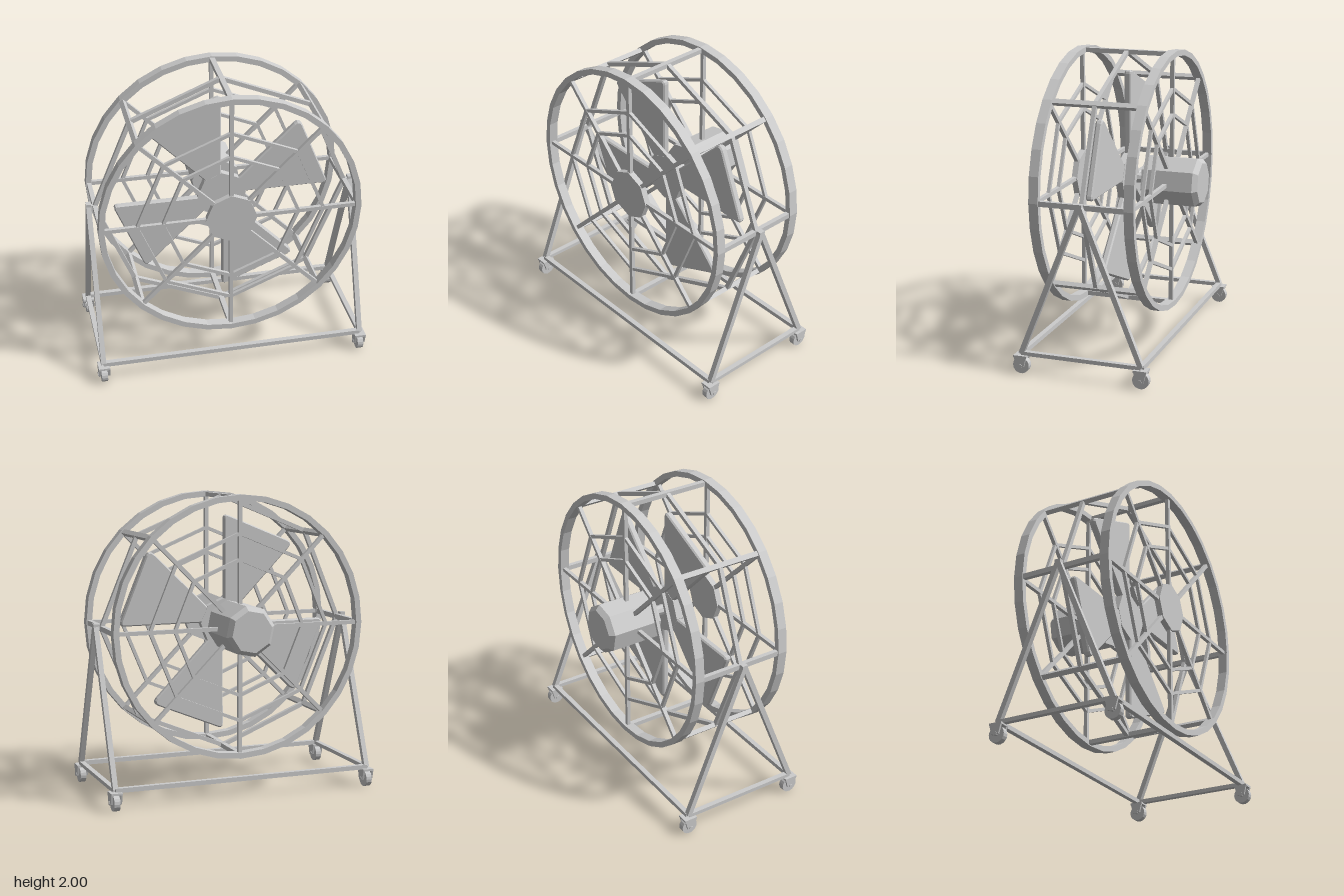
import * as THREE from 'three';

const steel = new THREE.MeshStandardMaterial({ color: 0xcccccc });
steel.name = 'greySteel';
steel.flatShading = true;

const CY = 1.125;      // height of the fan axis
const MID = 0.035;     // z of the blade plane and of the stand apex
const R = 0.873;       // outer radius of the guard rings
const EIGHTH = Math.PI / 4;

function add(parent, name, geometry, x = 0, y = 0, z = 0) {
  const mesh = new THREE.Mesh(geometry, steel);
  mesh.name = name;
  mesh.position.set(x, y, z);
  parent.add(mesh);
  return mesh;
}

// Square bar between two points
function bar(parent, name, a, b, w = 0.03, d = w) {
  const p = new THREE.Vector3(...a), q = new THREE.Vector3(...b);
  const mesh = add(parent, name, new THREE.BoxGeometry(w, d, p.distanceTo(q)));
  mesh.position.copy(p).add(q).multiplyScalar(0.5);
  if (Math.abs(q.y - p.y) > 0.9 * p.distanceTo(q)) mesh.up.set(1, 0, 0);
  mesh.lookAt(q);
  return mesh;
}

const polar = (r, a, z) => [r * Math.cos(a), r * Math.sin(a), z];

// Rectangular-section hoop around the z axis
function hoop(parent, name, z) {
  const h = 0.032, inner = 0.835;
  const profile = [[inner, -h], [R, -h], [R, h], [inner, h], [inner, -h]]
    .map(([x, y]) => new THREE.Vector2(x, y));
  const g = new THREE.LatheGeometry(profile, 32);
  g.rotateX(Math.PI / 2);
  add(parent, name, g, 0, 0, z);
}

// Octagonal loop of bars
function octagon(parent, name, r, z, w) {
  for (let i = 0; i < 8; i++) {
    bar(parent, name, polar(r, i * EIGHTH, z), polar(r, (i + 1) * EIGHTH, z), w);
  }
}

// Cage: two rings with spider webs, joined by long bars
function buildCage() {
  const cage = new THREE.Group();
  cage.name = 'cage';
  for (const [side, z] of [['front', 0.352], ['back', -0.28]]) {
    hoop(cage, side + 'Ring', z);
    for (let i = 0; i < 8; i++) {
      bar(cage, side + 'Spoke', polar(0.14, i * EIGHTH, z), polar(0.85, i * EIGHTH, z), 0.026);
    }
    octagon(cage, side + 'InnerWeb', 0.45, z, 0.022);
    octagon(cage, side + 'OuterWeb', 0.62, z, 0.022);
  }
  for (let i = 0; i < 8; i++) {
    const a = i * EIGHTH;
    const long = add(cage, 'crossBar', new THREE.BoxGeometry(0.03, 0.034, 0.632), ...polar(0.85, a, 0.036));
    long.rotation.z = a;
  }
  octagon(cage, 'middleHoop', 0.852, MID, 0.028);
  const plate = new THREE.CylinderGeometry(0.172, 0.172, 0.04, 8);
  plate.rotateX(Math.PI / 2);
  add(cage, 'frontHubPlate', plate, 0, 0, 0.352);
  return cage;
}

// Fan: hub with four flat wedge blades
function buildFan() {
  const fan = new THREE.Group();
  fan.name = 'fan';
  const s = new THREE.Shape();
  s.moveTo(0.10, 0.012);
  s.lineTo(0.70, 0.012);
  s.quadraticCurveTo(0.722, 0.012, 0.713, 0.035);
  s.lineTo(0.536, 0.465);
  s.quadraticCurveTo(0.522, 0.495, 0.495, 0.47);
  s.lineTo(0.10, 0.085);
  s.closePath();
  const blade = new THREE.ExtrudeGeometry(s, {
    depth: 0.026, bevelEnabled: true, bevelThickness: 0.01,
    bevelSize: 0.008, bevelSegments: 1, curveSegments: 3,
  });
  blade.translate(0, 0, -0.013);
  for (let i = 0; i < 4; i++) {
    add(fan, 'blade', blade, 0, 0, MID).rotation.z = i * Math.PI / 2;
  }
  const hub = new THREE.CylinderGeometry(0.165, 0.165, 0.05, 8);
  hub.rotateX(Math.PI / 2);
  add(fan, 'fanHub', hub, 0, 0, MID);
  const shaft = new THREE.CylinderGeometry(0.028, 0.038, 0.16, 8);
  shaft.rotateX(-Math.PI / 2);
  add(fan, 'shaft', shaft, 0, 0, -0.05);
  return fan;
}

// Motor: eight-sided drum with a chamfered back
function buildMotor() {
  const profile = [[0, 0.115], [0.17, 0.115], [0.17, 0.465], [0.14, 0.497], [0, 0.497]]
    .map(([x, y]) => new THREE.Vector2(x, y));
  const g = new THREE.LatheGeometry(profile, 8);
  g.rotateX(-Math.PI / 2);
  g.rotateZ(-0.19);
  const group = new THREE.Group();
  group.name = 'motor';
  add(group, 'motorDrum', g);
  return group;
}

// Caster: wheel between two cheeks under a top block
function buildCaster(x, z) {
  const caster = new THREE.Group();
  caster.name = 'caster';
  caster.position.set(x, 0, z);
  const wheel = new THREE.CylinderGeometry(0.055, 0.055, 0.04, 18);
  wheel.rotateZ(Math.PI / 2);
  add(caster, 'wheel', wheel, 0, 0.055, 0);
  const axle = new THREE.CylinderGeometry(0.014, 0.014, 0.084, 8);
  axle.rotateZ(Math.PI / 2);
  add(caster, 'axle', axle, 0, 0.055, 0);
  const s = new THREE.Shape();
  s.moveTo(-0.045, 0.125);
  s.lineTo(-0.025, 0.05);
  s.lineTo(0.025, 0.05);
  s.lineTo(0.045, 0.125);
  s.closePath();
  const cheek = new THREE.ExtrudeGeometry(s, { depth: 0.014, bevelEnabled: false });
  cheek.rotateY(Math.PI / 2);
  add(caster, 'forkCheek', cheek, 0.024, 0, 0);
  add(caster, 'forkCheek', cheek, -0.038, 0, 0);
  add(caster, 'forkTop', new THREE.BoxGeometry(0.076, 0.014, 0.09), 0, 0.118, 0);
  return caster;
}

// Stand: A-frame on each side, joined by long base rails
function buildStand() {
  const stand = new THREE.Group();
  stand.name = 'stand';
  const X = 0.892, Y = 0.135, F = 0.44, B = -0.372;
  for (const x of [-X, X]) {
    bar(stand, 'frontLeg', [x, 1.14, MID], [x, Y, F], 0.034);
    bar(stand, 'backLeg', [x, 1.14, MID], [x, Y, B], 0.034);
    bar(stand, 'sideRail', [x, Y, F], [x, Y, B], 0.034, 0.026);
    add(stand, 'apexBlock', new THREE.BoxGeometry(0.034, 0.05, 0.04), x, 1.13, MID);
    bar(stand, 'pivot', [x, CY, MID], [Math.sign(x) * 0.84, CY, MID], 0.028);
    stand.add(buildCaster(x, F), buildCaster(x, B));
  }
  for (const z of [F, B]) bar(stand, 'baseRail', [-X, Y, z], [X, Y, z], 0.034, 0.03);
  return stand;
}

export function createModel() {
  const model = new THREE.Group();
  model.name = 'drumFan';
  const drum = new THREE.Group();
  drum.name = 'drum';
  drum.position.y = CY;
  drum.add(buildCage(), buildFan(), buildMotor());
  model.add(drum, buildStand());
  return model;
}
